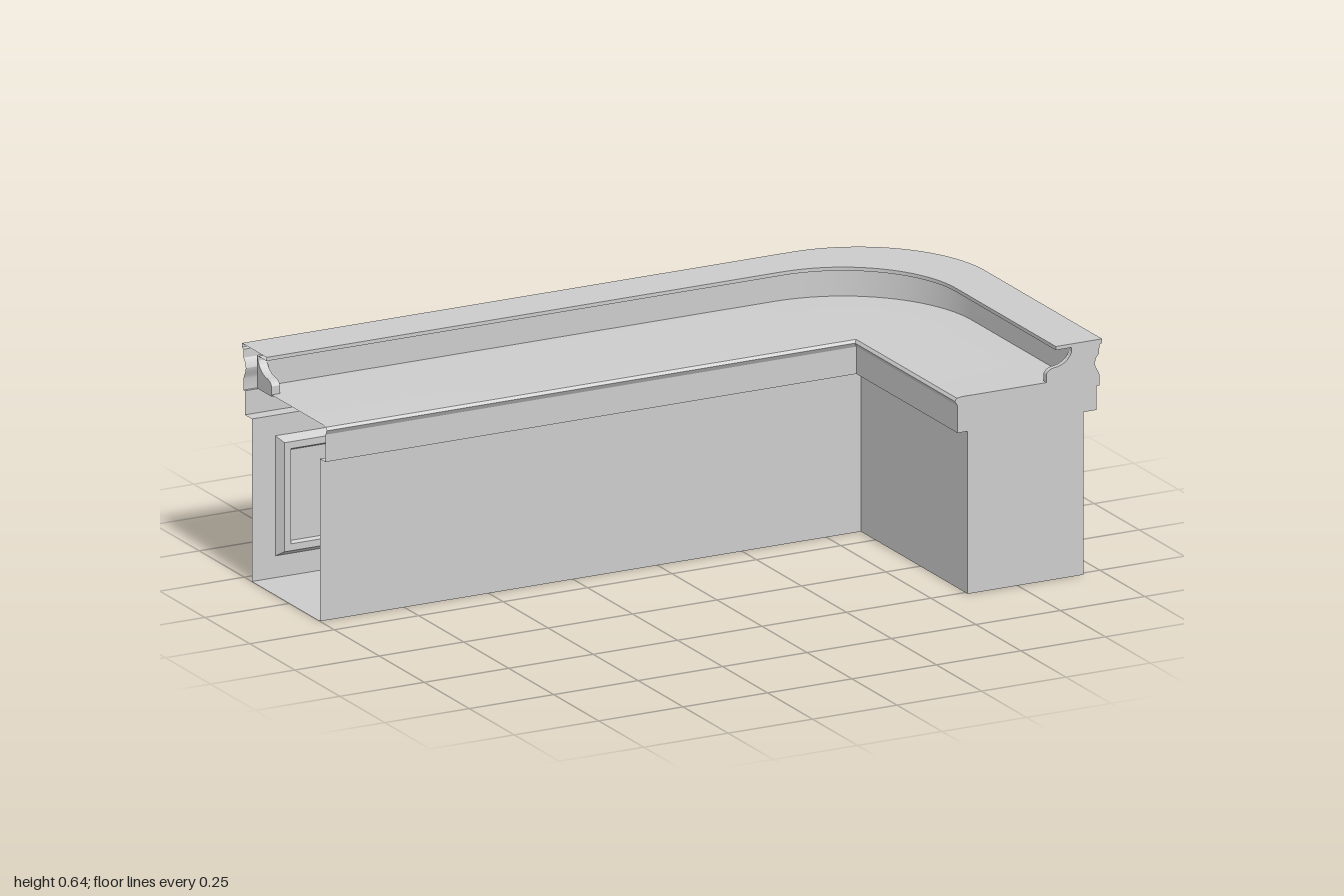
import * as THREE from 'three';
import { toCreasedNormals } from 'three/addons/utils/BufferGeometryUtils.js';

const X0 = -1, Z1 = 0.513;            // the two ends of the L-shaped run
const ARC = 24;                       // segments around the corner
const OUT = [0.625, -0.138];          // centre of the outer corner
const IN = [0.528, -0.041];           // centre of the ledge's inner corner
const BODY_R = 0.32, BODY_TOP = 0.447;

const material = new THREE.MeshStandardMaterial({ color: 0xcccccc, side: THREE.DoubleSide });

function makeMesh(name, geometry) {
  const m = new THREE.Mesh(geometry, material);
  m.name = name;
  return m;
}

function creased(triangles) {
  const g = new THREE.BufferGeometry().setFromPoints(triangles);
  return toCreasedNormals(g, 0.5);
}

// Adds a quad, leaving out triangles without area
function quad(list, a, b, c, d) {
  for (const t of [[a, b, d], [b, c, d]]) {
    const area = new THREE.Triangle(...t).getArea();
    if (area > 1e-8) list.push(...t);
  }
}

// Path of one profile point: straight along the back, round the corner, straight to the leg end
function pathOf([cx, cz, r, y]) {
  const pts = [new THREE.Vector3(X0, y, cz - r)];
  for (let i = 0; i <= ARC; i++) {
    const a = (i / ARC) * Math.PI / 2;
    pts.push(new THREE.Vector3(cx + r * Math.sin(a), y, cz - r * Math.cos(a)));
  }
  pts.push(new THREE.Vector3(cx + r, y, Z1));
  return pts;
}

const outer = (d, y) => [...OUT, 0.375 - d, y];
const inner = (d, y) => [...IN, 0.472 - d, y];
const square = (x, z, y) => [x, z, 0, y];

// Profile from the body's top edge, over ledge and worktop, down to the floor
const profile = [
  outer(0.055, BODY_TOP), outer(0.016, BODY_TOP), outer(0.016, 0.513), outer(0.008, 0.513),
  outer(0.008, 0.543), outer(0.012, 0.553), outer(0.019, 0.565), outer(0.022, 0.577),
  outer(0.018, 0.59), outer(0.009, 0.602), outer(0.008, 0.625), outer(0.0, 0.629), outer(0.0, 0.64),
  inner(0.137, 0.64), inner(0.137, 0.63), inner(0.09, 0.63), inner(0.09, 0.545),
  square(0.585, -0.062, 0.545), square(0.57, -0.047, 0.543), square(0.564, -0.041, 0.535),
  square(0.572, -0.049, 0.522), square(0.572, -0.049, BODY_TOP),
  square(0.602, -0.08, BODY_TOP), square(0.602, -0.08, 0), outer(0.055, 0),
];

function shellGeometry() {
  const rows = profile.map(pathOf), tris = [];
  for (let i = 0; i + 1 < rows.length; i++)
    for (let j = 0; j + 1 < rows[i].length; j++)
      quad(tris, rows[i][j], rows[i + 1][j], rows[i + 1][j + 1], rows[i][j + 1]);
  return creased(tris);
}

// Point on the outer wall: s runs along the wall, d is the depth below its face
const L1 = OUT[0] - X0, L2 = BODY_R * Math.PI / 2, L3 = Z1 - OUT[1];
function wallPoint([s, y, d]) {
  const r = BODY_R - d;
  if (s <= L1) return new THREE.Vector3(X0 + s, y, OUT[1] - r);
  if (s >= L1 + L2) return new THREE.Vector3(OUT[0] + r, y, OUT[1] + s - L1 - L2);
  const a = (s - L1) / BODY_R;
  return new THREE.Vector3(OUT[0] + r * Math.sin(a), y, OUT[1] - r * Math.cos(a));
}

// Wall patch between four corners (bottom left, top left, top right, bottom right), split along s
function patch(list, bl, tl, tr, br, n) {
  const mix = (p, q, t) => wallPoint(p.map((v, k) => v + (q[k] - v) * t));
  for (let i = 0; i < n; i++) {
    const t = i / n, u = (i + 1) / n;
    quad(list, mix(bl, br, t), mix(tl, tr, t), mix(tl, tr, u), mix(bl, br, u));
  }
}

function flat(list, s0, s1, y0, y1, n, d = 0) {
  patch(list, [s0, y0, d], [s0, y1, d], [s1, y1, d], [s1, y0, d], n);
}

// Sunk panel: bevelled frame, channel and raised field
const PY0 = 0.06, PY1 = 0.39;
const steps = [[0, 0], [0.015, 0.022], [0.034, 0.022], [0.04, 0.012]];
function panelGeometry(s0, s1, n) {
  const tris = [];
  const rects = steps.map(([e, d]) => [
    [s0 + e, PY0 + e, d], [s0 + e, PY1 - e, d], [s1 - e, PY1 - e, d], [s1 - e, PY0 + e, d]]);
  for (let k = 0; k + 1 < rects.length; k++) {
    const [a, b, c, e] = rects[k], [A, B, C, E] = rects[k + 1];
    patch(tris, a, A, E, e, n);
    patch(tris, B, b, c, C, n);
    patch(tris, a, b, B, A, 1);
    patch(tris, E, C, c, e, 1);
  }
  patch(tris, ...rects[rects.length - 1], n);
  return creased(tris);
}

// Curved bracket under the ledge at an end; place turns depth into the shape's own axis
function bracketGeometry(place, depth) {
  const s = new THREE.Shape();
  s.moveTo(place(0.085), 0.54);
  s.lineTo(place(0.085), 0.632);
  s.quadraticCurveTo(place(0.095), 0.59, place(0.135), 0.583);
  s.quadraticCurveTo(place(0.158), 0.582, place(0.165), 0.568);
  s.lineTo(place(0.165), 0.54);
  return new THREE.ExtrudeGeometry(s, { depth, bevelEnabled: false, curveSegments: 6 });
}

export function createModel() {
  const group = new THREE.Group();
  group.name = 'cornerCounter';

  // Ledge, moulding, worktop, inner wall and floor
  group.add(makeMesh('counterShell', shellGeometry()));

  // Closed end of the short leg
  const endShape = new THREE.Shape(profile.map(([cx, , r, y]) => new THREE.Vector2(cx + r, y)));
  const endCap = makeMesh('legEndCap', new THREE.ShapeGeometry(endShape));
  endCap.position.z = Z1;
  group.add(endCap);

  // Outer wall with three back panels, one curved and one side panel
  const side = L1 + L2 - OUT[1];
  const spans = [
    ['backPanelOuter', 0.07, 0.54, 1], ['backPanelMiddle', 0.65, 1.035, 1],
    ['backPanelInner', 1.135, 1.55, 1],
    ['curvedPanel', L1 + 0.076, L1 + L2 - 0.076, 18],
    ['sidePanel', side - 0.138 + 0.138 - 0.276 + 0.131, side + 0.46 - 0.276, 1],
  ];
  // side panel measured from where the corner ends
  spans[4][1] = L1 + L2;
  spans[4][2] = L1 + L2 + 0.46 - OUT[1];
  const wall = [];
  let s = 0;
  for (const [name, a, b, n] of spans) {
    for (const [from, to] of [[s, Math.min(a, L1)], [Math.max(s, L1), Math.min(a, L1 + L2)]])
      if (to > from) flat(wall, from, to, 0, BODY_TOP, from < L1 ? 1 : 4);
    flat(wall, a, b, 0, PY0, n);
    flat(wall, a, b, PY1, BODY_TOP, n);
    group.add(makeMesh(name, panelGeometry(a, b, n)));
    s = b;
  }
  flat(wall, s, L1 + L2 + L3, 0, BODY_TOP, 1);
  group.add(makeMesh('outerWall', creased(wall)));

  // End brackets below the ledge
  const legBracket = makeMesh('legBracket', bracketGeometry(d => 1 - d, 0.015));
  legBracket.position.z = Z1 - 0.015;
  const backBracket = makeMesh('backBracket', bracketGeometry(d => -0.513 + d, 0.025));
  backBracket.rotation.y = -Math.PI / 2;
  backBracket.position.x = X0 + 0.025;
  group.add(legBracket, backBracket);
  return group;
}
